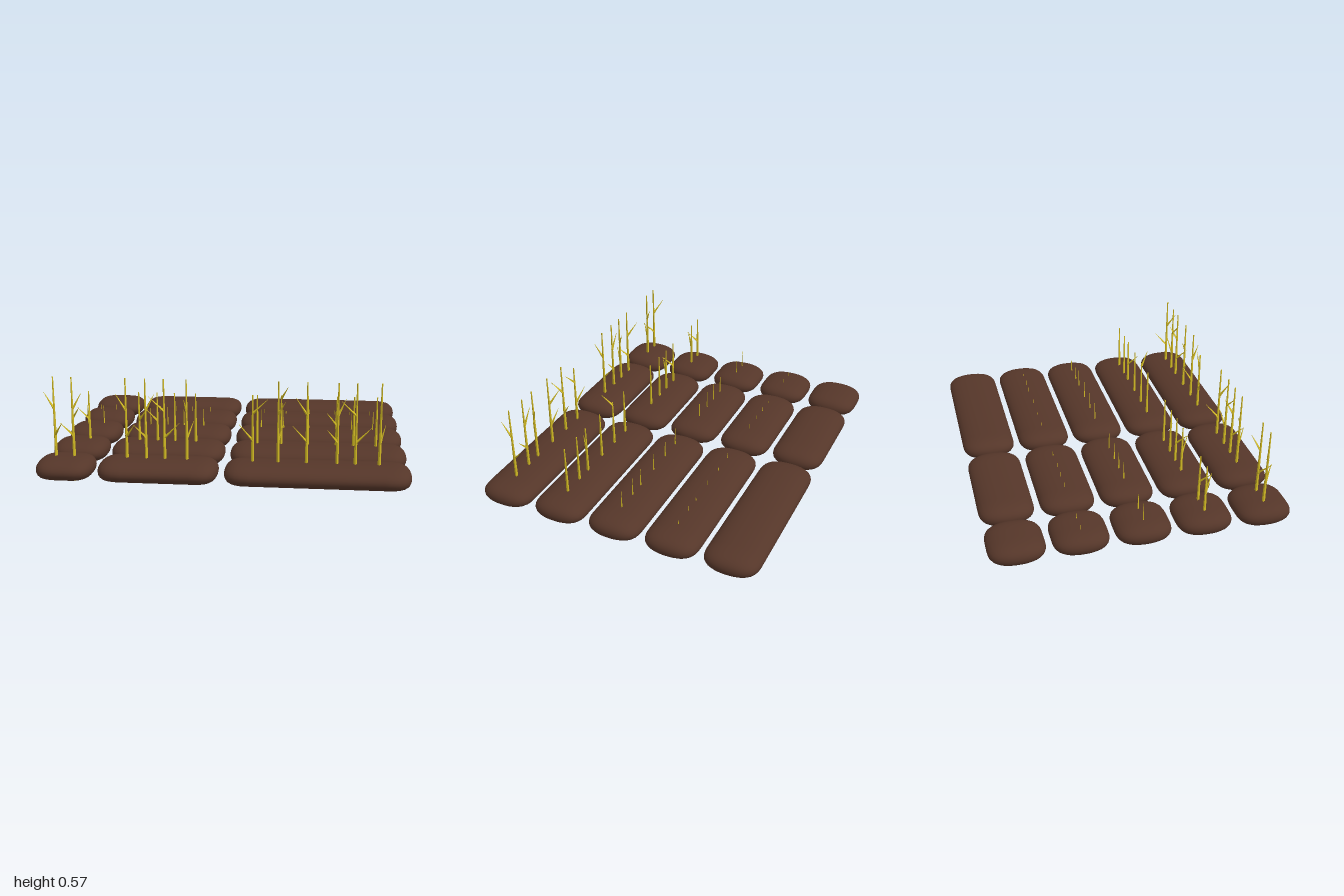
import * as THREE from 'three';
import { mergeVertices } from 'three/addons/utils/BufferGeometryUtils.js';

const soil = new THREE.MeshStandardMaterial({ color: 0x553629, roughness: 0.9 });
const straw = new THREE.MeshStandardMaterial({ color: 0xccb522, flatShading: true, side: THREE.DoubleSide });

// Pillow-shaped mound: a superquadric whose ends are pulled apart along x
function moundGeometry(length) {
  const r = 0.153, halfHeight = 0.06;
  const geometry = new THREE.SphereGeometry(1, 28, 21).rotateZ(Math.PI / 2);
  geometry.deleteAttribute('uv');
  geometry.deleteAttribute('normal');
  const p = geometry.attributes.position;
  for (let i = 0; i < p.count; i++) {
    const x = p.getX(i), y = p.getY(i), z = p.getZ(i);
    let low = 0.5, high = 2;
    for (let k = 0; k < 24; k++) {
      const s = (low + high) / 2;
      const f = Math.abs(s * x) ** 4 + Math.abs(s * y) ** 2.1 + Math.abs(s * z) ** 2.4;
      if (f > 1) high = s; else low = s;
    }
    p.setXYZ(i, x * low * r + Math.sign(x) * (length / 2 - r), y * low * halfHeight, z * low * r);
  }
  const merged = mergeVertices(geometry, 1e-4);
  merged.computeVertexNormals();
  return merged;
}

// Thin three-sided spike between two points
function spike(name, from, to, r0, r1) {
  const direction = to.clone().sub(from);
  const mesh = new THREE.Mesh(new THREE.CylinderGeometry(r1, r0, direction.length(), 3), straw);
  mesh.position.copy(from).add(to).multiplyScalar(0.5);
  mesh.quaternion.setFromUnitVectors(new THREE.Vector3(0, 1, 0), direction.normalize());
  mesh.name = name;
  return mesh;
}

function leaf(name, y, [dx, dz]) {
  return spike(name, new THREE.Vector3(0, y, 0), new THREE.Vector3(dx, y + 0.08, dz), 0.008, 0.001);
}

// Leaf directions [dx, dz]: lower leaf, upper leaf
const habits = {
  a: [[0.055, 0.05], [-0.065, -0.04]],
  b: [[-0.055, 0.05], [0.04, -0.04]],
  c: [[0.08, -0.01], [-0.08, 0.01]],
  d: [[0.03, -0.07], [-0.005, 0.06]],
  e: [[-0.075, -0.02], [0.08, 0.01]],
  f: [[0.025, -0.05], [0.04, 0.05]],
  g: [[-0.075, -0.01], [-0.06, -0.04]],
};
const plants = [
  [-0.9, 'a'], [-0.8, 'b'],
  [-0.51, 'a'], [-0.405, 'b'], [-0.305, 'c'], [-0.185, 'd'],
  [0.165, 'e'], [0.3, 'f'], [0.45, 'g'], [0.61, 'b'], [0.705, 'c'], [0.83, 'd'],
];

function makePlant(stage, habit) {
  const plant = new THREE.Group();
  const height = [0, 0.17, 0.25, 0.42, habit === 'e' ? 0.5 : 0.575][stage];
  plant.add(spike('stem', new THREE.Vector3(0, stage === 1 ? 0.01 : 0, 0),
    new THREE.Vector3(0, height, 0), stage < 3 ? 0.009 : 0.012, stage < 3 ? 0.001 : 0.004));
  const [lower, upper] = habits[habit];
  if (stage === 4 || (stage === 3 && lower[1] > 0)) plant.add(leaf('lowerLeaf', 0.255, lower));
  if (stage === 4 || (stage === 3 && habit === 'f')) plant.add(leaf('upperLeaf', 0.4, upper));
  return plant;
}

export function createModel() {
  const model = new THREE.Group();
  model.name = 'cropField';
  // Mounds as [centre x, length]
  const beds = [[-0.845, 0.31], [-0.34, 0.645], [0.508, 0.984]]
    .map(([x, length]) => ({ x, geometry: moundGeometry(length) }));

  // Five rows from bare soil at the back to full-grown stalks at the front
  for (let stage = 0; stage < 5; stage++) {
    const row = new THREE.Group();
    row.name = 'growthRow' + stage;
    row.position.z = (stage - 2) * 0.338;
    for (const bed of beds) {
      const mound = new THREE.Mesh(bed.geometry, soil);
      mound.name = 'soilMound';
      mound.position.set(bed.x, 0.08, 0);
      row.add(mound);
    }
    if (stage > 0) {
      plants.forEach(([x, habit], i) => {
        const plant = makePlant(stage, habit);
        plant.name = 'plant' + i;
        plant.position.x = x;
        row.add(plant);
      });
    }
    model.add(row);
  }
  return model;
}
